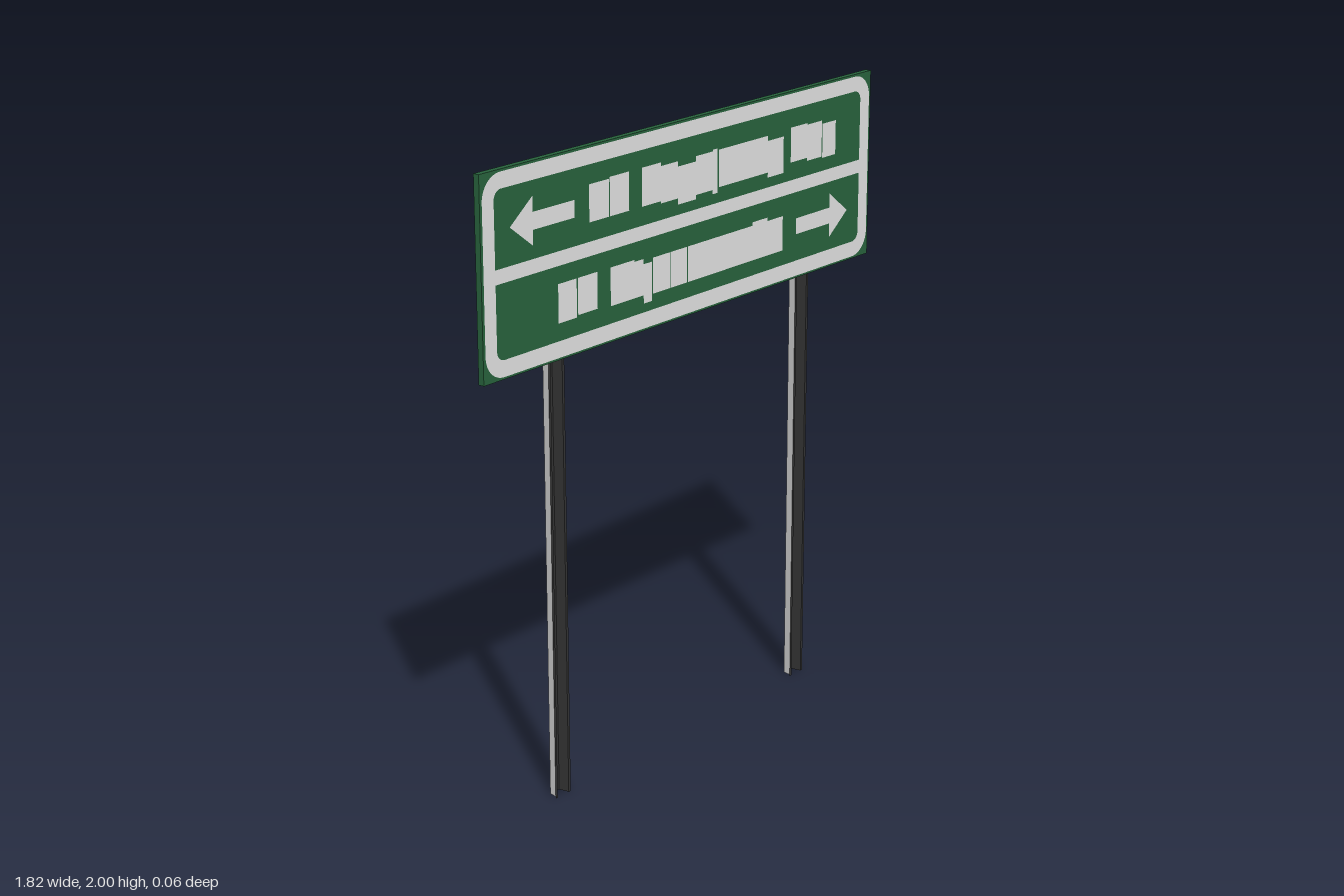
import * as THREE from 'three';

const mat = (name, color, side = THREE.FrontSide) => {
  const m = new THREE.MeshStandardMaterial({ color, side });
  m.name = name;
  return m;
};

// Rounded rectangle traced onto a Shape or Path
function roundRect(path, x0, y0, x1, y1, r) {
  path.moveTo(x0 + r, y0);
  path.lineTo(x1 - r, y0);
  path.absarc(x1 - r, y0 + r, r, -Math.PI / 2, 0);
  path.lineTo(x1, y1 - r);
  path.absarc(x1 - r, y1 - r, r, 0, Math.PI / 2);
  path.lineTo(x0 + r, y1);
  path.absarc(x0 + r, y1 - r, r, Math.PI / 2, Math.PI);
  path.lineTo(x0, y0 + r);
  path.absarc(x0 + r, y0 + r, r, Math.PI, Math.PI * 1.5);
  return path;
}

const rectShape = (x0, x1, y1, y0) => new THREE.Shape([
  [x0, y0], [x1, y0], [x1, y1], [x0, y1]].map(p => new THREE.Vector2(...p)));

// Upright folded sheet following an [x, z] polyline; faces right of travel
function foldedSheet(profile, height) {
  const pos = [];
  for (let i = 0; i < profile.length - 1; i++) {
    const [ax, az] = profile[i], [bx, bz] = profile[i + 1];
    pos.push(ax, 0, az, bx, 0, bz, bx, height, bz);
    pos.push(ax, 0, az, bx, height, bz, ax, height, az);
  }
  const g = new THREE.BufferGeometry();
  g.setAttribute('position', new THREE.Float32BufferAttribute(pos, 3));
  g.computeVertexNormals();
  return g;
}

export function createModel() {
  const model = new THREE.Group();
  model.name = 'directionSign';

  const green = mat('signGreen', 0x27623c);
  const white = mat('markingWhite', 0xe1e1e1);
  const backGrey = mat('panelBackGrey', 0x9d9d9d);
  const steel = mat('postSteel', 0xd0d0d0);
  const dark = mat('postDark', 0x323232, THREE.DoubleSide);

  const backZ = 0.004, frontZ = 0.024, bottomY = 1.395, topY = 2;

  const add = (parent, name, geometry, material) => {
    const mesh = new THREE.Mesh(geometry, material);
    mesh.name = name;
    parent.add(mesh);
    return mesh;
  };

  // Panel: green front and edges, bare back
  const panel = add(model, 'panel',
    new THREE.BoxGeometry(1.815, topY - bottomY, frontZ - backZ),
    [green, green, green, green, green, backGrey]);
  panel.position.set(0, (topY + bottomY) / 2, (frontZ + backZ) / 2);

  // Painted face details
  const face = new THREE.Group();
  face.name = 'faceMarkings';
  face.position.z = frontZ + 0.001;
  model.add(face);

  const border = roundRect(new THREE.Shape(), -0.899, 1.402, 0.899, 1.993, 0.075);
  border.holes.push(roundRect(new THREE.Path(), -0.852, 1.452, 0.852, 1.945, 0.03));
  add(face, 'border', new THREE.ShapeGeometry(border, 8), white);
  add(face, 'dividerLine', new THREE.ShapeGeometry(rectShape(-0.852, 0.852, 1.718, 1.675)), white);

  // Arrows, one pointing each way
  const addArrow = (name, dir, y) => {
    const pts = [[0.79, 0], [0.696, 0.072], [0.696, 0.026], [0.521, 0.026],
      [0.521, -0.026], [0.696, -0.026], [0.696, -0.072]];
    const shape = new THREE.Shape(pts.map(([px, py]) => new THREE.Vector2(px * dir, y + py)));
    add(face, name, new THREE.ShapeGeometry(shape), white);
  };
  addArrow('upperArrow', -1, 1.828);
  addArrow('lowerArrow', 1, 1.564);

  // Plain blocks: left, right, top, bottom
  const upperBlocks = [
    [-0.458, -0.372, 1.887, 1.775], [-0.368, -0.283, 1.892, 1.775],
    [-0.225, -0.14, 1.892, 1.775], [-0.14, -0.061, 1.881, 1.768],
    [-0.061, 0.024, 1.865, 1.749], [0.024, 0.103, 1.881, 1.762],
    [0.103, 0.126, 1.886, 1.749], [0.133, 0.373, 1.881, 1.765],
    [0.373, 0.452, 1.865, 1.749], [0.489, 0.574, 1.886, 1.775],
    [0.574, 0.649, 1.881, 1.765], [0.653, 0.722, 1.87, 1.76]];
  const lowerBlocks = [
    [-0.595, -0.516, 1.622, 1.505], [-0.511, -0.426, 1.622, 1.511],
    [-0.368, -0.262, 1.622, 1.505], [-0.262, -0.22, 1.616, 1.505],
    [-0.22, -0.182, 1.6, 1.479], [-0.178, -0.097, 1.611, 1.5],
    [-0.093, -0.018, 1.611, 1.5], [-0.014, 0.299, 1.611, 1.5],
    [0.299, 0.373, 1.622, 1.5], [0.373, 0.452, 1.611, 1.5]];
  add(face, 'upperBlocks', new THREE.ShapeGeometry(upperBlocks.map(b => rectShape(...b))), white);
  add(face, 'lowerBlocks', new THREE.ShapeGeometry(lowerBlocks.map(b => rectShape(...b))), white);

  // Posts: open hat-shaped channels, steel outside, dark inside and on the flanges
  const zFlange = backZ - 0.001, zWeb = -0.032, height = 1.945;
  const outer = [[0.026, zFlange], [0.02, zWeb], [-0.02, zWeb], [-0.026, zFlange]];
  const inner = [[-0.025, zFlange], [-0.019, zWeb + 0.001], [0.019, zWeb + 0.001], [0.025, zFlange]];
  for (const side of [-1, 1]) {
    const post = new THREE.Group();
    post.name = side > 0 ? 'leftPost' : 'rightPost';
    post.position.x = side * 0.584;
    model.add(post);
    add(post, 'channelOutside', foldedSheet(outer, height), steel);
    add(post, 'channelInside', foldedSheet(inner, height), dark);
    for (const s of [-1, 1]) {
      const x = [s * 0.025, s * 0.034].sort((a, b) => a - b);
      add(post, 'flange', foldedSheet([[x[0], zFlange], [x[1], zFlange]], height), dark);
    }
  }
  return model;
}
